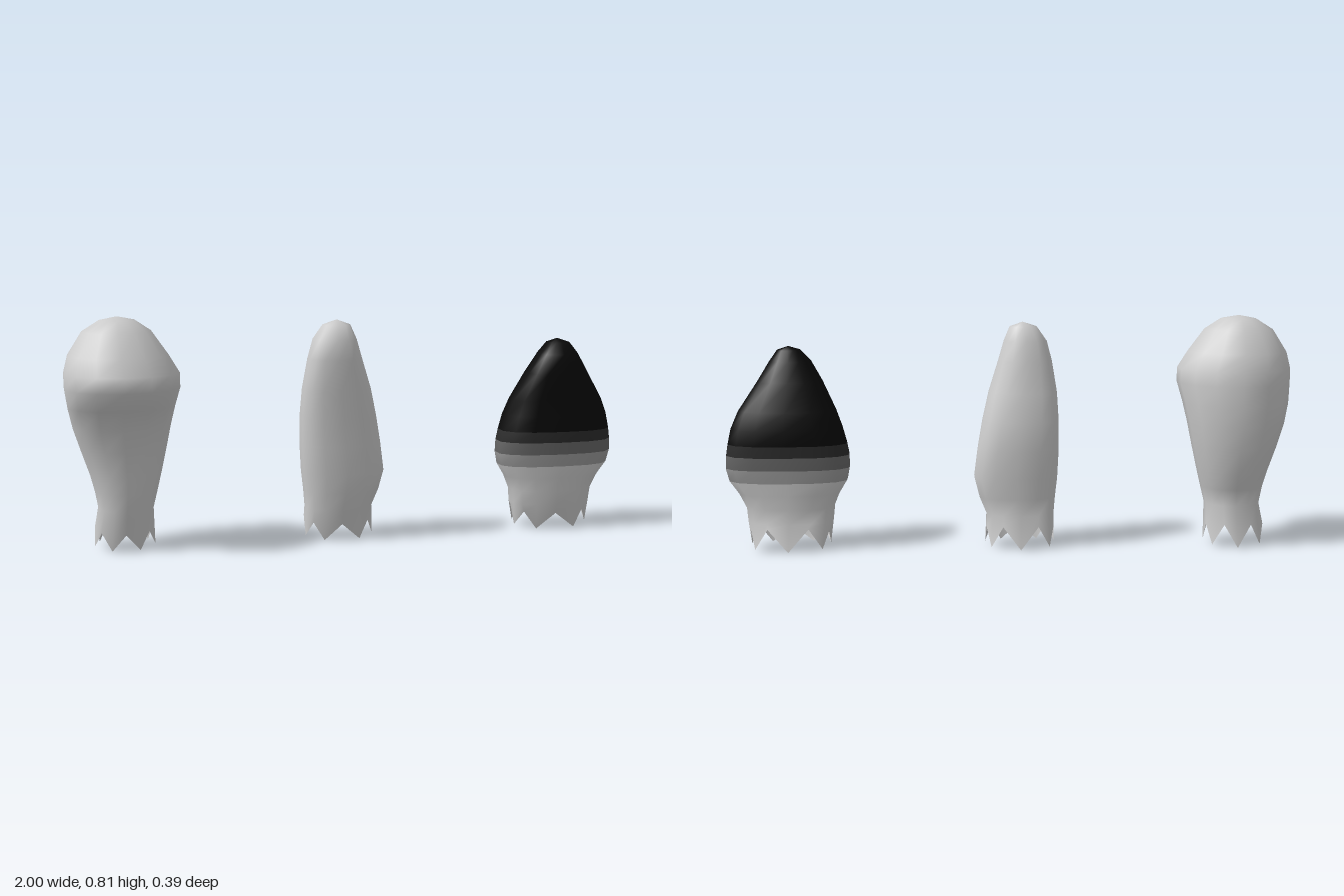
import * as THREE from 'three';

const SIDES = 14; // seven teeth around the open hem
const GREY = 0xcccccc;

// Rings run from hem to crown: [y, xMin, xMax, zFront, zBack]; power < 1 makes the section boxier
function buildTuft(rings, top, power) {
  const pos = [], index = [];
  const bend = (v) => Math.sign(v) * Math.pow(Math.abs(v), power);
  const widest = bend(Math.cos(Math.PI / SIDES));
  rings.forEach(([y, x0, x1, zf, zb], r) => {
    for (let i = 0; i < SIDES; i++) {
      const a = -Math.PI / 2 + (i / SIDES) * Math.PI * 2;
      const tooth = i % 2 === 0;
      let py = y;
      if (r === 0) py = tooth ? 0.005 + 0.01 * (1 + Math.cos(2 * a)) / 2 : 0.075 - 0.012 * Math.sin(a);
      const shrink = r === 0 && !tooth ? 0.97 : 1;
      pos.push(
        (x0 + x1) / 2 + (bend(Math.cos(a)) / widest) * shrink * (x1 - x0) / 2,
        py,
        (zf + zb) / 2 + bend(Math.sin(a)) * shrink * (zf - zb) / 2);
    }
  });
  const bands = [];
  for (let r = 0; r < rings.length - 1; r++) {
    const band = [];
    for (let i = 0; i < SIDES; i++) {
      const a = r * SIDES + i, b = r * SIDES + (i + 1) % SIDES;
      band.push(b, a, a + SIDES, b, a + SIDES, b + SIDES);
    }
    bands.push(band);
  }
  // Crown fan
  const pole = pos.length / 3, last = (rings.length - 1) * SIDES, fan = [];
  pos.push(...top);
  for (let i = 0; i < SIDES; i++) fan.push(last + (i + 1) % SIDES, last + i, pole);
  bands.push(fan);
  bands.forEach((b) => index.push(...b));
  const geometry = new THREE.BufferGeometry();
  geometry.setAttribute('position', new THREE.Float32BufferAttribute(pos, 3));
  geometry.setIndex(index);
  geometry.computeVertexNormals();
  return { geometry, bands };
}

function paint(geometry, color, name) {
  const mesh = new THREE.Mesh(geometry,
    new THREE.MeshStandardMaterial({ color, side: THREE.DoubleSide }));
  mesh.name = name;
  return mesh;
}

export function createModel() {
  const model = new THREE.Group();
  model.name = 'tufts';

  // Round tuft with a bulging front
  const round = buildTuft([
    [0, -0.905, -0.695, 0.03, -0.155],
    [0.15, -0.89, -0.70, 0.05, -0.133],
    [0.21, -0.90, -0.685, 0.058, -0.148],
    [0.27, -0.915, -0.67, 0.063, -0.168],
    [0.36, -0.945, -0.65, 0.073, -0.183],
    [0.44, -0.97, -0.635, 0.098, -0.193],
    [0.51, -0.985, -0.62, 0.128, -0.195],
    [0.58, -0.995, -0.605, 0.195, -0.193],
    [0.63, -0.995, -0.605, 0.175, -0.185],
    [0.69, -0.98, -0.64, 0.145, -0.165],
    [0.77, -0.93, -0.695, 0.085, -0.12],
    [0.808, -0.87, -0.75, 0.035, -0.08],
  ], [-0.81, 0.82, -0.03], 0.95);
  model.add(paint(round.geometry, GREY, 'roundTuft'));

  // Slim tuft leaning to one side
  const slim = buildTuft([
    [0, -0.155, 0.09, 0.03, -0.155],
    [0.12, -0.152, 0.085, 0.045, -0.133],
    [0.18, -0.157, 0.11, 0.052, -0.135],
    [0.25, -0.165, 0.128, 0.06, -0.137],
    [0.35, -0.17, 0.115, 0.065, -0.138],
    [0.45, -0.17, 0.098, 0.07, -0.132],
    [0.55, -0.165, 0.075, 0.078, -0.105],
    [0.66, -0.148, 0.04, 0.083, -0.08],
    [0.73, -0.13, 0.02, 0.075, -0.065],
    [0.78, -0.095, 0.0, 0.04, -0.04],
  ], [-0.045, 0.797, -0.005], 0.8);
  model.add(paint(slim.geometry, GREY, 'slimTuft'));

  // Broad tuft with a dark tip fading to grey
  const broad = buildTuft([
    [0, 0.64, 0.92, 0.03, -0.155],
    [0.1, 0.63, 0.925, 0.045, -0.135],
    [0.15, 0.625, 0.93, 0.05, -0.132],
    [0.2, 0.605, 0.955, 0.055, -0.135],
    [0.245, 0.578, 0.988, 0.06, -0.136],
    [0.29, 0.57, 1.0, 0.063, -0.138],
    [0.335, 0.572, 0.998, 0.067, -0.138],
    [0.375, 0.58, 0.992, 0.07, -0.138],
    [0.43, 0.595, 0.98, 0.07, -0.137],
    [0.49, 0.617, 0.955, 0.07, -0.12],
    [0.59, 0.665, 0.89, 0.088, -0.085],
    [0.66, 0.705, 0.848, 0.085, -0.055],
    [0.7, 0.74, 0.82, 0.05, -0.035],
  ], [0.78, 0.714, 0], 0.8);
  const tuft = new THREE.Group();
  tuft.name = 'broadTuft';
  // Each part covers the bands from one ring to the next; all share the same smooth normals
  const parts = [
    ['greyBase', GREY, 0, 4], ['lightFade', 0x999999, 4, 5], ['middleFade', 0x666666, 5, 6],
    ['darkFade', 0x2c2c2c, 6, 7], ['darkTip', 0x080808, 7, broad.bands.length],
  ];
  for (const [name, color, from, to] of parts) {
    const g = new THREE.BufferGeometry();
    for (const key of ['position', 'normal']) g.setAttribute(key, broad.geometry.getAttribute(key));
    g.setIndex(broad.bands.slice(from, to).flat());
    tuft.add(paint(g.toNonIndexed(), color, name));
  }
  model.add(tuft);
  return model;
}
